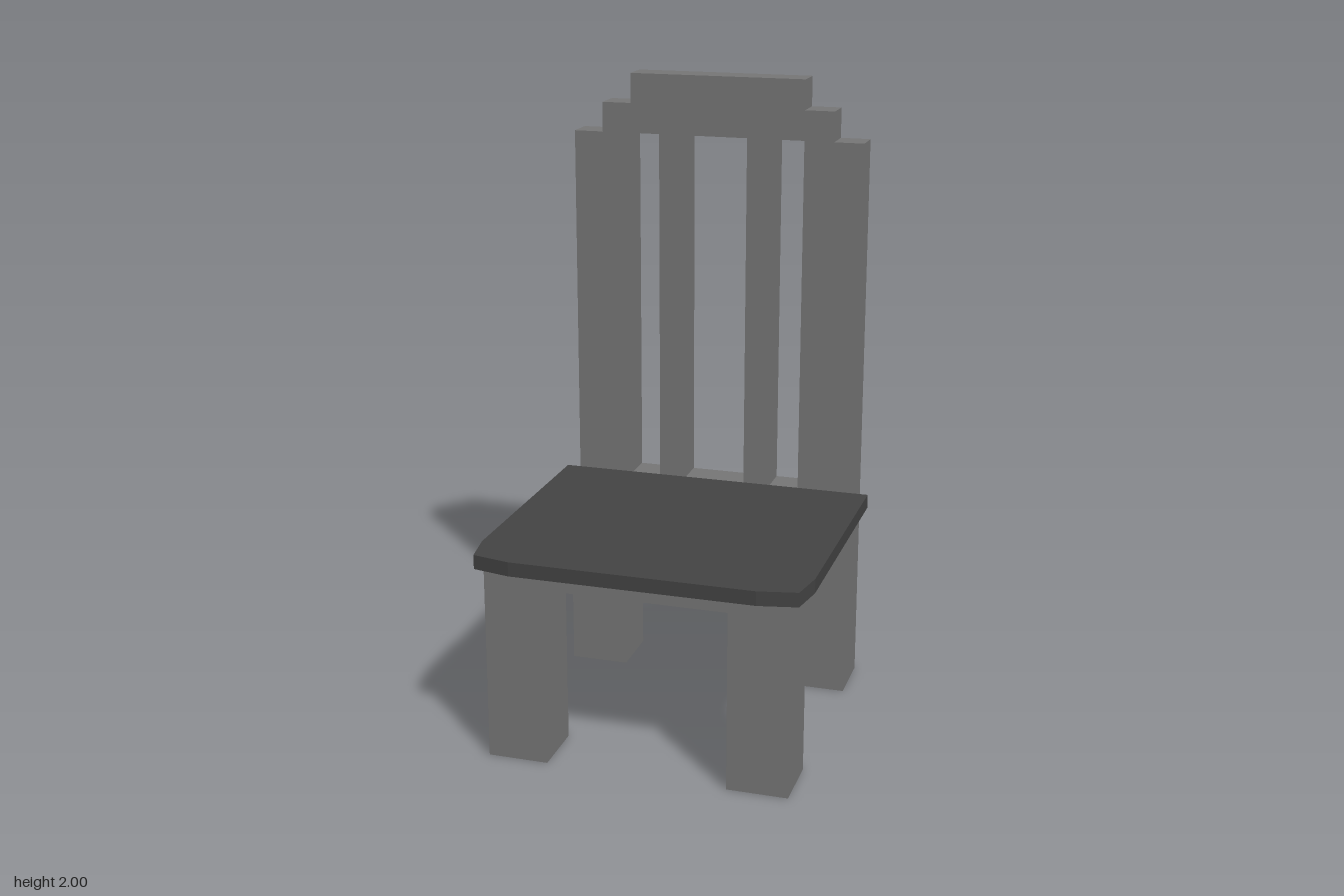
import * as THREE from 'three';

export function createModel() {
  const chair = new THREE.Group();
  chair.name = 'chair';
  const frameMat = new THREE.MeshStandardMaterial({ color: 0x777777, flatShading: true });
  const seatMat = new THREE.MeshStandardMaterial({ color: 0x444444, flatShading: true });

  const add = (name, geometry, material) => {
    const mesh = new THREE.Mesh(geometry, material);
    mesh.name = name;
    chair.add(mesh);
    return mesh;
  };
  // Box given by its limits on each axis
  const addBox = (name, [x0, x1], [y0, y1], [z0, z1]) =>
    add(name, new THREE.BoxGeometry(x1 - x0, y1 - y0, z1 - z0), frameMat)
      .position.set((x0 + x1) / 2, (y0 + y1) / 2, (z0 + z1) / 2);
  // Closed outline mirrored across x = 0, from its +x half
  const mirrored = (half) => [...half, ...half.map(([x, y]) => [-x, y]).reverse()]
    .map(([x, y]) => new THREE.Vector2(x, y));

  const inner = 0.285, outer = 0.475;   // leg limits in x
  const apronY = 0.57, seatY = 0.62, seatTop = 0.665, gapTop = 1.81;
  const backZ = -0.495, backFrontZ = -0.4;

  // Back frame: rear posts, stepped crest, lower rail and two slats in one board
  const back = new THREE.Shape(mirrored([
    [inner, apronY], [inner, 0], [outer, 0], [outer, gapTop],
    [0.38, gapTop], [0.38, 1.905], [inner, 1.905], [inner, 2],
  ]));
  for (const [x0, x1] of [[-inner, -0.19], [-0.1, 0.1], [0.19, inner]]) {
    back.holes.push(new THREE.Path([
      new THREE.Vector2(x0, seatTop), new THREE.Vector2(x0, gapTop),
      new THREE.Vector2(x1, gapTop), new THREE.Vector2(x1, seatTop),
    ]));
  }
  add('backFrame', new THREE.ExtrudeGeometry(back, { depth: backFrontZ - backZ, bevelEnabled: false }), frameMat)
    .position.z = backZ;

  // Legs: full front legs, and the front half of each rear leg
  for (const [side, range] of [['left', [inner, outer]], ['right', [-outer, -inner]]]) {
    addBox(side + 'FrontLeg', range, [0, apronY], [0.265, 0.455]);
    addBox(side + 'RearLeg', range, [0, apronY], [backFrontZ, -0.305]);
  }

  // Apron slab under the seat
  addBox('apron', [-outer, outer], [apronY, seatY], [backFrontZ, 0.455]);

  // Seat board with clipped front corners, drawn with shape y = -z
  const seat = new THREE.Shape(mirrored([
    [0.38, -0.495], [0.5, -0.47], [0.52, -0.355], [0.52, 0.4],
  ]));
  const seatMesh = add('seat', new THREE.ExtrudeGeometry(seat, { depth: seatTop - seatY, bevelEnabled: false }), seatMat);
  seatMesh.rotation.x = -Math.PI / 2;
  seatMesh.position.y = seatY;

  return chair;
}
